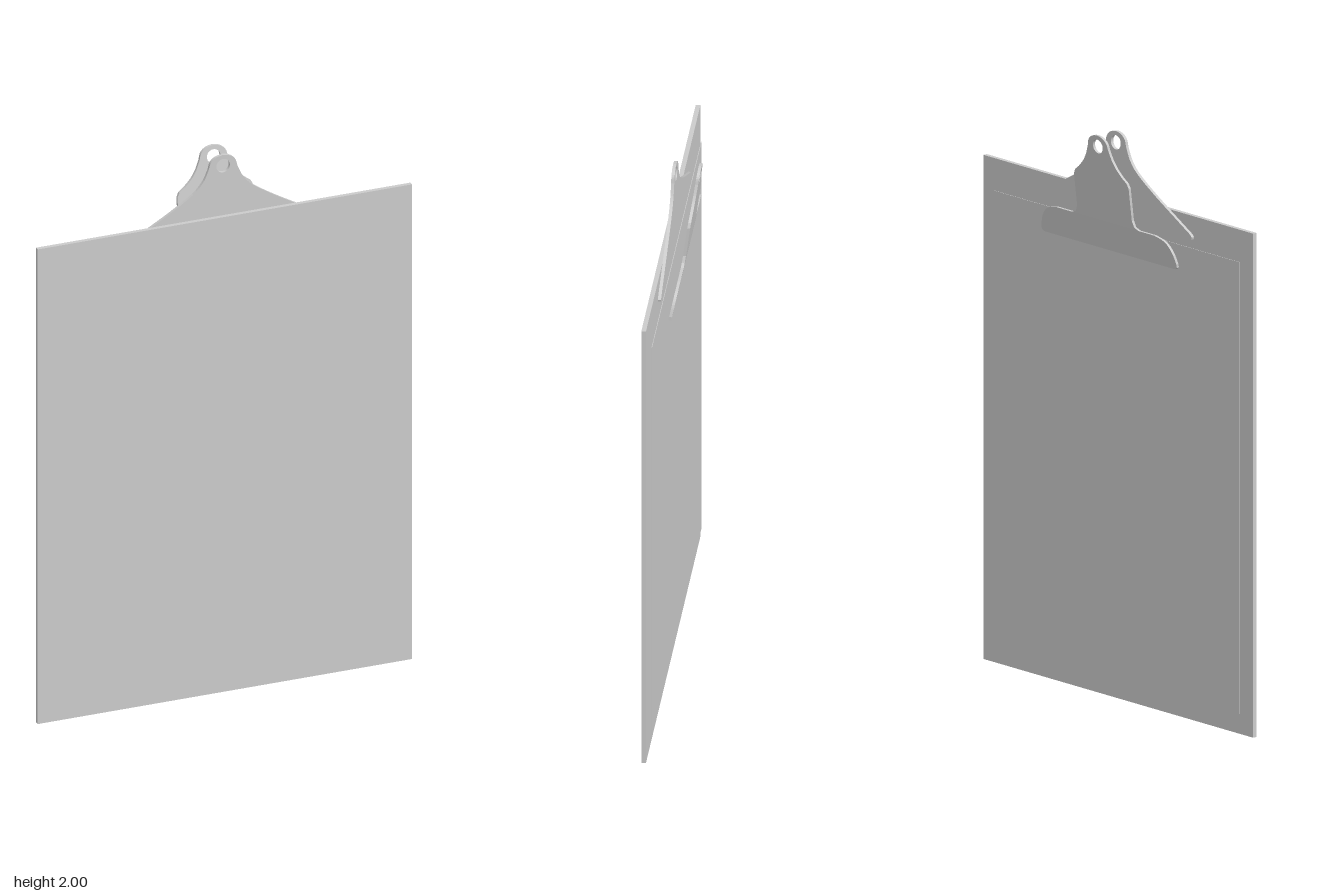
import * as THREE from 'three';

const material = new THREE.MeshStandardMaterial({ color: 0xcccccc });

function addMesh(parent, name, geometry) {
  const mesh = new THREE.Mesh(geometry, material);
  mesh.name = name;
  parent.add(mesh);
  return mesh;
}

// Symmetric outline from its +x half, listed bottom to top
function mirroredShape(half) {
  const left = half.filter(([x]) => x > 0).map(([x, y]) => [-x, y]).reverse();
  return new THREE.Shape([...half, ...left].map(([x, y]) => new THREE.Vector2(x, y)));
}

// Smooth curve through a few outline points
function smooth(points, divisions) {
  const curve = new THREE.SplineCurve(points.map(([x, y]) => new THREE.Vector2(x, y)));
  return curve.getPoints(divisions).map((p) => [p.x, p.y]);
}

// Rounded head of the hanging tab, ending at the top centre
function tabHead() {
  return smooth([[0.052, 1.955], [0.045, 1.978], [0.026, 1.994], [0, 2]], 10);
}

function addHangingHole(shape) {
  shape.holes.push(new THREE.Path().absarc(0, 1.96, 0.025, 0, Math.PI * 2, true));
}

// Sheet whose mid-plane leans linearly from z0 at y0 to z1 at y1
function leaningSheet(shape, thickness, y0, z0, y1, z1) {
  const geometry = new THREE.ExtrudeGeometry(shape, {
    depth: thickness, bevelEnabled: false, curveSegments: 20,
  });
  geometry.translate(0, 0, -thickness / 2);
  const p = geometry.attributes.position;
  for (let i = 0; i < p.count; i++) {
    p.setZ(i, p.getZ(i) + z0 + ((p.getY(i) - y0) * (z1 - z0)) / (y1 - y0));
  }
  geometry.computeVertexNormals();
  return geometry;
}

export function createModel() {
  const model = new THREE.Group();
  model.name = 'clipboard';

  // Backing board
  addMesh(model, 'board', new THREE.BoxGeometry(1.38, 1.775, 0.016)).position.set(0, 0.8875, 0.049);

  // Sheet of paper held off the board
  addMesh(model, 'paper', new THREE.BoxGeometry(1.257, 1.59, 0.002)).position.set(-0.006, 0.87, 0.03);

  const clip = new THREE.Group();
  clip.name = 'clip';
  model.add(clip);

  // Flat clip plate with wings, fixed to the board
  const plate = mirroredShape([
    [0.375, 1.69], [0.386, 1.694], [0.388, 1.702], [0.38, 1.711],
    ...smooth([[0.265, 1.775], [0.19, 1.818], [0.11, 1.87], [0.075, 1.907], [0.06, 1.935]], 16),
    ...tabHead(),
  ]);
  addHangingHole(plate);
  addMesh(clip, 'clipPlate', leaningSheet(plate, 0.011, 1.69, 0.0355, 2, 0.0355));

  // Lever that leans away from the board
  const lever = mirroredShape([
    [0.17, 1.69], [0.149, 1.698], [0.14, 1.72], [0.14, 1.835], [0.132, 1.852],
    ...smooth([[0.11, 1.868], [0.085, 1.893], [0.068, 1.918], [0.06, 1.935]], 10),
    ...tabHead(),
  ]);
  addHangingHole(lever);
  addMesh(clip, 'clipLever', leaningSheet(lever, 0.01, 1.69, -0.013, 2, -0.052));

  // Jaw bent back toward the paper
  const jaw = mirroredShape([
    [0.335, 1.585], [0.345, 1.592],
    ...smooth([[0.345, 1.605], [0.33, 1.645], [0.3, 1.677], [0.25, 1.69]], 12),
  ]);
  addMesh(clip, 'clipJaw', leaningSheet(jaw, 0.01, 1.585, 0.007, 1.69, -0.013));

  return model;
}
